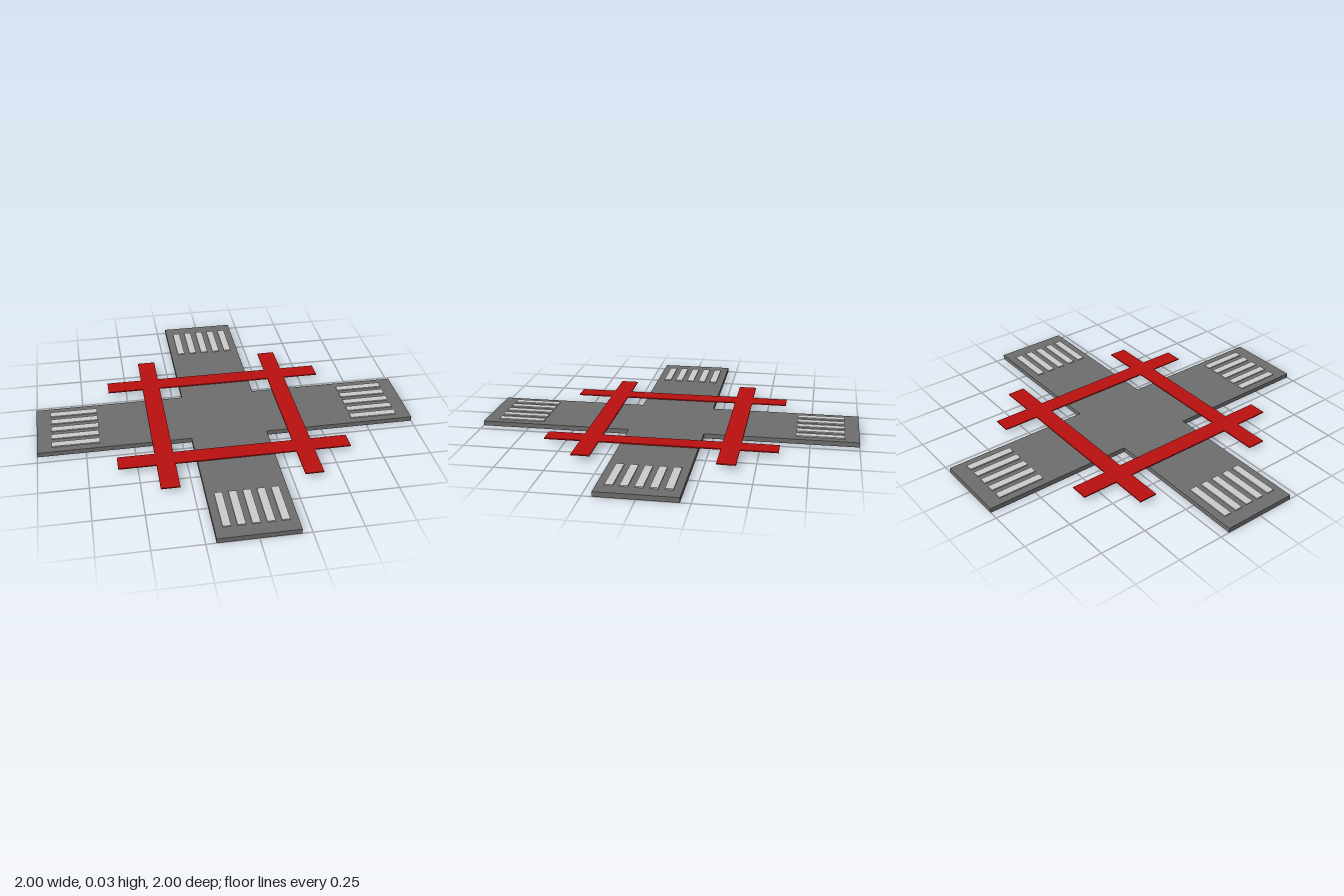
import * as THREE from 'three';

const ROAD_TOP = 0.025, TOP = 0.031;

// Repeat a run of [x, y] corners in four quarter turns to make a closed outline
function fourfold(corners) {
  const points = [];
  for (let q = 0; q < 4; q++) {
    for (const [x, y] of corners) {
      points.push(new THREE.Vector2(x, y).rotateAround(new THREE.Vector2(), q * Math.PI / 2));
    }
  }
  return points;
}

// Flat slab lying between two heights
function slab(name, shape, bottom, top, material) {
  const geometry = new THREE.ExtrudeGeometry(shape, { depth: top - bottom, bevelEnabled: false });
  geometry.rotateX(-Math.PI / 2).translate(0, bottom, 0);
  const mesh = new THREE.Mesh(geometry, material);
  mesh.name = name;
  return mesh;
}

export function createModel() {
  const model = new THREE.Group();
  model.name = 'crossroads';
  const asphalt = new THREE.MeshStandardMaterial({ color: 0x6e6e6e });
  const paint = new THREE.MeshStandardMaterial({ color: 0xcccccc });
  const red = new THREE.MeshStandardMaterial({ color: 0xbb0f0f });

  // Cross-shaped road
  const w = 0.2;
  const cross = new THREE.Shape(fourfold([[1, -w], [1, w], [w, w]]));
  model.add(slab('road', cross, 0, ROAD_TOP, asphalt));

  // Four crossing red strips around the junction, joined as one frame
  const inner = 0.312, outer = 0.408, end = 0.6;
  const frame = new THREE.Shape(fourfold([
    [outer, inner], [end, inner], [end, outer], [outer, outer],
    [outer, end], [inner, end], [inner, outer],
  ]));
  frame.holes.push(new THREE.Path(fourfold([[inner, inner]]).reverse()));
  model.add(slab('redFrame', frame, ROAD_TOP, TOP, red));

  // Zebra crossing at the end of each arm
  const stripeGeometry = new THREE.BoxGeometry(0.04, TOP - ROAD_TOP, 0.25);
  for (let arm = 0; arm < 4; arm++) {
    const crossing = new THREE.Group();
    crossing.name = 'zebraCrossing';
    for (let i = -2; i <= 2; i++) {
      const stripe = new THREE.Mesh(stripeGeometry, paint);
      stripe.name = 'stripe';
      stripe.position.set(i * 0.07, (ROAD_TOP + TOP) / 2, 0.8);
      crossing.add(stripe);
    }
    crossing.rotation.y = arm * Math.PI / 2;
    model.add(crossing);
  }
  return model;
}
